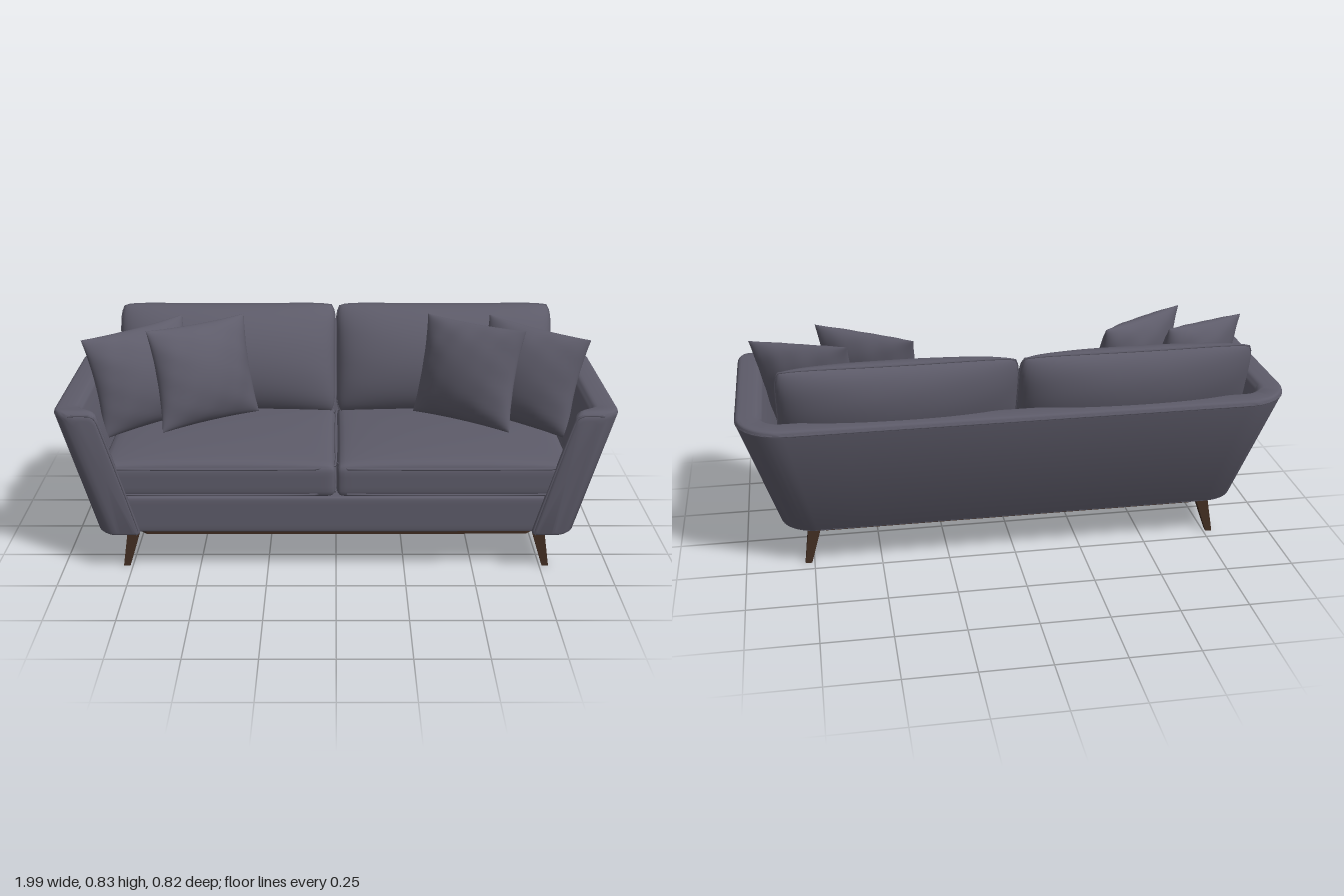
import * as THREE from 'three';
import { mergeVertices, mergeGeometries, toCreasedNormals } from 'three/addons/utils/BufferGeometryUtils.js';

const { lerp, smoothstep, degToRad } = THREE.MathUtils;
const BOTTOM = 0.155, TOP = 0.625, FRONT = 0.41;

// Weld a geometry and give it smooth normals
function smooth(geo) {
  geo.deleteAttribute('normal');
  geo.deleteAttribute('uv');
  const g = mergeVertices(geo, 1e-5);
  g.computeVertexNormals();
  return g;
}

function moveVertices(geo, rule) {
  const p = geo.attributes.position, v = new THREE.Vector3();
  for (let i = 0; i < p.count; i++) {
    rule(v.fromBufferAttribute(p, i));
    p.setXYZ(i, v.x, v.y, v.z);
  }
  return geo;
}

function piping(points, closed, radius = 0.004) {
  const curve = new THREE.CatmullRomCurve3(points, closed, 'centripetal');
  return new THREE.TubeGeometry(curve, points.length * 2, radius, 6, closed);
}

// Stuffed pillow: two bulged sheets meeting at a seam
const ease = t => Math.sin(t * Math.PI / 2);
function edgePoint(o, u, v) {
  const x = o.w / 2 * u * (1 - o.pinchX * (1 - v * v) - o.round * v ** 8);
  const y = o.h / 2 * v * (1 - o.pinchY * (1 - u * u) - o.round * u ** 8);
  return new THREE.Vector3(x, y, 0);
}
function pillow(o) {
  const sheet = side => {
    const geo = new THREE.PlaneGeometry(2, 2, 32, 24);
    if (side < 0) geo.rotateY(Math.PI);
    return moveVertices(geo, p => {
      const u = ease(p.x), v = ease(p.y);
      const f = Math.max(0, 1 - u * u) ** o.powerX * Math.max(0, 1 - v * v) ** o.powerY;
      const ripple = 1 + o.ripple * Math.sin(9 * u + 4 * v) * Math.cos(8 * v - 3 * u) * (1 - f);
      p.copy(edgePoint(o, u, v));
      p.z = side * (side > 0 ? o.front : o.back) * f * ripple;
    });
  };
  return smooth(mergeGeometries([sheet(1), sheet(-1)]));
}
function pillowSeam(o) {
  const pts = [], n = 14;
  for (const [cx, cy, dx, dy] of [[-1, -1, 1, 0], [1, -1, 0, 1], [1, 1, -1, 0], [-1, 1, 0, -1]])
    for (let i = 0; i < n; i++) {
      const t = 1 + ease(2 * i / n - 1);
      pts.push(edgePoint(o, cx + dx * t, cy + dy * t));
    }
  return piping(pts, true);
}

// Rounded block with a crowned top
function softBox(w, h, d, r, crown) {
  const geo = new THREE.BoxGeometry(2, 2, 2, 24, 10, 24);
  const half = new THREE.Vector3(w / 2, h / 2, d / 2), inner = half.clone().subScalar(r);
  return smooth(moveVertices(geo, p => {
    p.set(ease(p.x), ease(p.y), ease(p.z));
    const top = Math.max(0, p.y) * ((1 - p.x ** 2) * (1 - p.z ** 2)) ** 0.5 * crown;
    p.multiply(half);
    const core = p.clone().clamp(inner.clone().negate(), inner);
    const off = p.clone().sub(core);
    if (off.length() > 0) off.setLength(Math.min(r, Math.max(Math.abs(off.x), Math.abs(off.y), Math.abs(off.z))));
    p.copy(core).add(off);
    p.y += top;
  }));
}

// Point on the flared U-shaped wall: height y, inset d from its outer face
function wallPoint(st, y, d) {
  const k = (y - BOTTOM) / (TOP - BOTTOM);
  const hx = 0.86 + 0.14 * k, zb = -0.255 - 0.155 * k, r = 0.13 + 0.04 * k;
  const cx = hx - r, cz = zb + r;
  let x, z;
  if (st.q !== undefined) { x = hx - d; z = FRONT - st.q; }
  else if (st.a !== undefined) { x = hx - d; z = lerp(FRONT - 0.14, cz, st.a); }
  else if (st.angle !== undefined) {
    x = cx + (r - d) * Math.cos(st.angle);
    z = cz - (r - d) * Math.sin(st.angle);
  } else { x = cx * st.b; z = zb + d; }
  return new THREE.Vector3(x * st.side, y, z);
}
function wallStations() {
  const half = [];
  for (const q of [0, 0.002, 0.006, 0.014, 0.022, 0.03, 0.042, 0.056, 0.07, 0.09, 0.115]) half.push({ q });
  for (let i = 0; i < 5; i++) half.push({ a: i / 5 });
  for (let i = 0; i <= 10; i++) half.push({ angle: i / 10 * Math.PI / 2 });
  for (const b of [0.75, 0.5, 0.25]) half.push({ b });
  const right = half.map(s => ({ ...s, side: 1 }));
  const left = half.map(s => ({ ...s, side: -1 })).reverse();
  return [...right, { b: 0, side: 1 }, ...left];
}
// Inset that rounds an edge of radius R off toward the arm front
function frontInset(st, R) {
  const q = st.q ?? 1;
  return q < R ? R - Math.sqrt(R * R - (R - q) ** 2) : 0;
}
const outerInset = st => frontInset(st, 0.075);
// Rounded cross-section of the wall, thicker at the front of the arms
function wallSection(st) {
  const T = lerp(0.155, 0.095, smoothstep(st.q ?? 1, 0.025, 0.08));
  const eo = outerInset(st), ei = frontInset(st, 0.014);
  const top = TOP - frontInset(st, 0.03), low = BOTTOM + frontInset(st, 0.008);
  const corners = [[eo, low, 0.012, 270], [eo, top, 0.022, 180], [T - ei, top, 0.022, 90], [T - ei, low, 0.012, 0]];
  return corners.flatMap(([d, y, r, start]) => [0, 1, 2, 3, 4].map(i => {
    const a = degToRad(start - i * 22.5);
    const cd = d + (start > 90 ? r : -r), cy = y + (y === low ? r : -r);
    return wallPoint(st, cy + r * Math.sin(a), cd + r * Math.cos(a));
  }));
}
function wallGeometry(stations) {
  const rings = stations.map(wallSection), n = rings[0].length, pos = [], idx = [];
  rings.flat().forEach(p => pos.push(p.x, p.y, p.z));
  for (let j = 0; j < rings.length - 1; j++)
    for (let i = 0; i < n; i++) {
      const a = j * n + i, b = j * n + (i + 1) % n;
      idx.push(a, a + n, b, b, a + n, b + n);
    }
  [0, rings.length - 1].forEach((j, end) => {
    const c = new THREE.Vector3();
    rings[j].forEach(p => c.addScaledVector(p, 1 / n));
    const ci = pos.push(c.x, c.y, c.z) / 3 - 1;
    for (let i = 0; i < n; i++) {
      const a = j * n + i, b = j * n + (i + 1) % n;
      idx.push(ci, end ? b : a, end ? a : b);
    }
  });
  const g = new THREE.BufferGeometry();
  g.setAttribute('position', new THREE.Float32BufferAttribute(pos, 3));
  g.setIndex(idx);
  return toCreasedNormals(g, 0.7);
}

// Rectangle with chamfered corners, drawn in plan
function chamfered(hx, hz, c, Type) {
  return new Type([[hx, hz - c], [hx - c, hz], [c - hx, hz], [-hx, hz - c],
    [-hx, c - hz], [c - hx, -hz], [hx - c, -hz], [hx, c - hz]].map(p => new THREE.Vector2(...p)));
}

export function createModel() {
  const sofa = new THREE.Group();
  sofa.name = 'sofa';
  const material = (name, color) => Object.assign(new THREE.MeshStandardMaterial({ color }), { name });
  const fabric = material('greyFabric', 0x5d5b69);
  const wood = material('darkWood', 0x3e2b20);
  const lining = material('undersideLining', 0x484c56);
  const add = (name, geo, mat, x = 0, y = 0, z = 0) => {
    const m = new THREE.Mesh(geo, mat);
    m.name = name;
    m.position.set(x, y, z);
    sofa.add(m);
    return m;
  };

  // Arms and back in one flared shell, with piping
  const stations = wallStations();
  add('armsAndBack', wallGeometry(stations), fabric);
  for (const [name, y, d] of [['rimPiping', 0.608, 0.003], ['bottomPiping', 0.163, 0.004]])
    add(name, piping(stations.slice(5, -5).map(s => wallPoint(s, y, outerInset(s) + d)), false), fabric);
  for (const st of [stations[2], stations[stations.length - 3]])
    add('armFrontPiping', piping(wallSection(st).slice(8), false), fabric);

  // Seat deck and underside
  add('seatDeck', softBox(1.56, 0.138, 0.585, 0.012, 0), fabric, 0, 0.225, 0.0925);
  add('underside', new THREE.BoxGeometry(1.46, 0.006, 0.45), lining, 0, 0.153, 0.0675);

  const back = { w: 0.846, h: 0.435, front: 0.135, back: 0.108, pinchX: 0.006, pinchY: 0.025,
    round: 0.04, powerX: 0.35, powerY: 0.55, ripple: 0.02 };
  const toss = { w: 0.415, h: 0.378, front: 0.088, back: 0.085, pinchX: 0.08, pinchY: 0.035,
    round: 0, powerX: 0.55, powerY: 0.55, ripple: 0.1 };
  const backGeo = pillow(back), backSeam = pillowSeam(back), tossGeo = pillow(toss);
  const seatGeo = softBox(0.838, 0.122, 0.635, 0.026, 0.032);
  const loop = [];
  for (const [cx, cz, q] of [[1, 1, 0], [-1, 1, 1], [-1, -1, 2], [1, -1, 3]])
    for (let i = 0; i <= 3; i++) {
      const a = (q + i / 3) * Math.PI / 2;
      loop.push(new THREE.Vector3(cx * 0.39 + 0.028 * Math.cos(a), 0, cz * 0.287 + 0.028 * Math.sin(a)));
    }
  const seatPiping = piping(loop, true);

  for (const s of [-1, 1]) {
    // Seat cushions
    add('seatCushion', seatGeo, fabric, s * 0.421, 0.357, 0.0775);
    for (const y of [0.31, 0.408]) add('seatCushionPiping', seatPiping, fabric, s * 0.421, y, 0.0775);
    // Back cushions
    for (const [name, geo] of [['backCushion', backGeo], ['backCushionPiping', backSeam]])
      add(name, geo, fabric, s * 0.424, 0.615, -0.25).rotation.x = degToRad(-21);
    // Throw pillows, turned toward the middle and leaning back
    add('innerThrowPillow', tossGeo, fabric, s * 0.495, 0.646, 0.022)
      .rotation.set(degToRad(-15), degToRad(-s * 34.5), 0, 'YXZ');
    add('outerThrowPillow', tossGeo, fabric, s * 0.725, 0.622, -0.003)
      .rotation.set(degToRad(-14), degToRad(-s * 31), degToRad(-s * 5), 'YXZ');
    // Splayed tapered legs
    for (const f of [-1, 1]) {
      const shaft = new THREE.CylinderGeometry(0.036, 0.017, 0.158, 4).rotateY(Math.PI / 4).toNonIndexed();
      const leg = moveVertices(shaft, p => {
        const drop = 0.5 - p.y / 0.158;
        p.x += s * 0.035 * drop;
        p.z += f * 0.038 * drop;
      });
      leg.computeVertexNormals();
      add(f > 0 ? 'frontLeg' : 'backLeg', leg, wood, s * 0.737, 0.079, 0.0675 + f * 0.2225);
    }
  }

  // Wooden base frame with a centre rail
  const ring = chamfered(0.75, 0.235, 0.05, THREE.Shape);
  ring.holes.push(chamfered(0.722, 0.207, 0.04, THREE.Path));
  const frame = new THREE.ExtrudeGeometry(ring, { depth: 0.045, bevelEnabled: false });
  add('baseFrame', frame.rotateX(-Math.PI / 2), wood, 0, 0.111, 0.0675);
  add('centreRail', new THREE.BoxGeometry(0.03, 0.04, 0.43), wood, 0, 0.134, 0.0675);
  return sofa;
}
